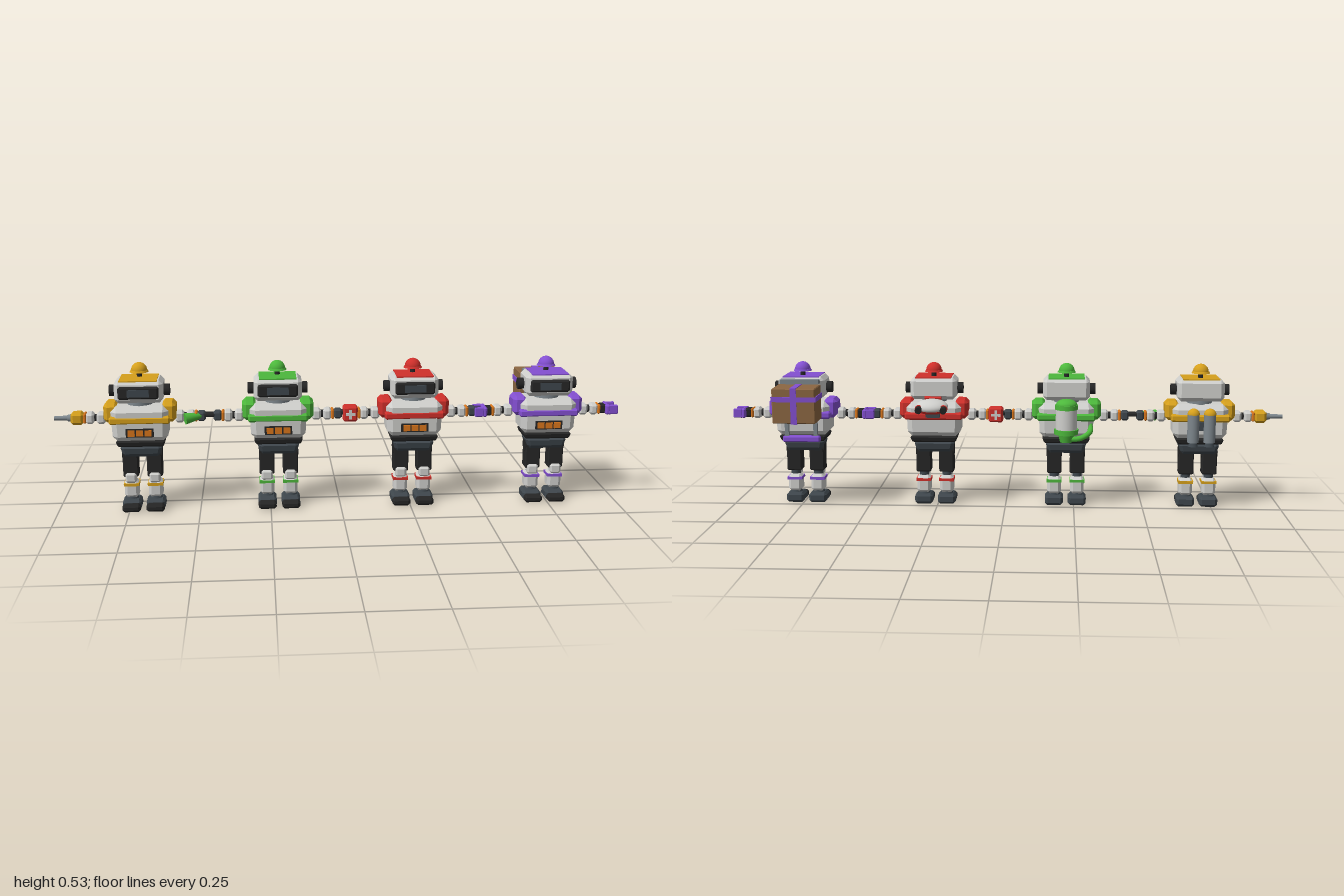
import * as THREE from 'three';
import { ConvexGeometry } from 'three/addons/geometries/ConvexGeometry.js';

const paint = (name, color) => { const m = new THREE.MeshStandardMaterial({ color }); m.name = name; return m; };
const M = {
  light: paint('light grey shell', 0xd0d0cd), black: paint('black', 0x262626),
  slate: paint('dark slate', 0x3f474d), steel: paint('steel grey', 0x7e878d),
  orange: paint('orange', 0xd9761c), gold: paint('gold', 0xd6a01c),
  green: paint('green', 0x4db83c), red: paint('red', 0xd0302b),
  purple: paint('purple', 0x8450d2), brown: paint('box brown', 0x8c6742),
};

function add(parent, name, geo, mat, x, y, z) {
  const m = new THREE.Mesh(geo, mat);
  m.name = name;
  m.position.set(x, y, z);
  parent.add(m);
  return m;
}

// box with all edges cut by c; the bottom can be narrowed
function chamfer(w, h, d, c, bottom = 1) {
  const pts = [], a = w / 2, b = h / 2, e = d / 2;
  for (const i of [-1, 1]) for (const j of [-1, 1]) for (const k of [-1, 1]) {
    const s = j < 0 ? bottom : 1;
    for (const [p, q, r] of [[a, b - c, e - c], [a - c, b, e - c], [a - c, b - c, e]])
      pts.push(new THREE.Vector3(i * p * s, j * q, k * r * s));
  }
  return new ConvexGeometry(pts);
}
const box = (w, h, d) => new THREE.BoxGeometry(w, h, d);
const cyl = (r1, r2, h, n = 24) => new THREE.CylinderGeometry(r1, r2, h, n);
const dome = (r) => new THREE.SphereGeometry(r, 24, 10, 0, Math.PI * 2, 0, Math.PI / 2);
const sideways = (geo) => geo.rotateZ(Math.PI / 2);
const Z = 0.058, ARM = 0.335;

function head(g, accent) {
  add(g, 'neck', cyl(0.045, 0.045, 0.02), M.steel, 0, 0.39, Z);
  add(g, 'head', chamfer(0.168, 0.08, 0.113, 0.014), M.light, 0, 0.435, Z);
  add(g, 'headTopPlate', box(0.13, 0.004, 0.116), accent, 0, 0.475, 0.06);
  add(g, 'visorFrame', chamfer(0.14, 0.044, 0.016, 0.006), M.black, 0, 0.434, 0.117);
  add(g, 'visorScreen', box(0.075, 0.026, 0.003), M.slate, 0, 0.434, 0.1255);
  for (const s of [-1, 1]) add(g, 'ear', sideways(cyl(0.02, 0.02, 0.025)), M.black, s * 0.092, 0.432, Z);
  add(g, 'beaconStem', cyl(0.009, 0.009, 0.022), M.black, 0, 0.486, 0.043);
  add(g, 'beaconBase', cyl(0.029, 0.033, 0.007), accent, 0, 0.497, 0.043);
  add(g, 'beaconDome', dome(0.028), accent, 0, 0.499, 0.043);
}

function torso(g, accent) {
  add(g, 'chest', chamfer(0.2, 0.128, 0.126, 0.02, 0.96), M.light, 0, 0.321, 0.059);
  add(g, 'chestBand', chamfer(0.21, 0.027, 0.133, 0.006), accent, 0, 0.336, 0.0575);
  add(g, 'buttonPanel', box(0.096, 0.03, 0.008), M.black, 0, 0.293, 0.121);
  for (const x of [-0.029, 0, 0.029]) add(g, 'button', box(0.024, 0.021, 0.008), M.orange, x, 0.293, 0.126);
  add(g, 'waist', chamfer(0.17, 0.022, 0.114, 0.005, 0.95), M.black, 0, 0.25, 0.057);
  add(g, 'pelvis', chamfer(0.145, 0.044, 0.091, 0.012, 0.92), M.slate, 0, 0.221, 0.059);
}

function leg(g, accent, s) {
  const x = s * 0.042;
  add(g, 'hip', sideways(cyl(0.026, 0.026, 0.056, 6)), M.black, x, 0.205, Z);
  add(g, 'thigh', chamfer(0.054, 0.09, 0.049, 0.004), M.black, x, 0.166, Z);
  add(g, 'kneeJoint', cyl(0.017, 0.017, 0.03), M.slate, x, 0.113, Z);
  add(g, 'kneePad', chamfer(0.04, 0.036, 0.027, 0.007), M.light, x, 0.118, 0.077);
  add(g, 'shin', chamfer(0.05, 0.064, 0.052, 0.01), M.light, x, 0.075, 0.056);
  add(g, 'shinBand', box(0.054, 0.01, 0.055), accent, x, 0.092, 0.0565);
  add(g, 'ankle', cyl(0.017, 0.023, 0.014), M.slate, x, 0.043, 0.057);
  add(g, 'foot', chamfer(0.066, 0.037, 0.075, 0.009), M.slate, x, 0.0195, 0.06);
  add(g, 'toe', chamfer(0.064, 0.027, 0.034, 0.008), M.black, x, 0.0155, 0.108);
}

function arm(g, accent, s) {
  add(g, 'shoulderPad', chamfer(0.052, 0.07, 0.084, 0.013), accent, s * 0.099, 0.358, Z);
  add(g, 'upperArm', chamfer(0.032, 0.04, 0.042, 0.008), M.light, s * 0.136, ARM, Z);
  add(g, 'elbow', sideways(cyl(0.013, 0.013, 0.02)), M.black, s * 0.158, ARM, Z);
  add(g, 'forearm', chamfer(0.03, 0.04, 0.042, 0.008), M.light, s * 0.175, ARM, Z);
  add(g, 'wristCuff', chamfer(0.01, 0.034, 0.042, 0.003), M.orange, s * 0.193, ARM, Z);
}

function plainHand(g, s) {
  add(g, 'palm', chamfer(0.028, 0.034, 0.036, 0.006), M.slate, s * 0.212, ARM, Z);
  for (const z of [-0.012, 0, 0.012]) add(g, 'finger', chamfer(0.026, 0.012, 0.009, 0.002), M.black, s * 0.236, ARM + 0.004, Z + z);
}

function clawHand(g, accent, s) {
  add(g, 'wrist', chamfer(0.026, 0.032, 0.036, 0.005), M.black, s * 0.208, ARM, Z);
  add(g, 'clawPalm', chamfer(0.016, 0.036, 0.062, 0.005), accent, s * 0.223, ARM, Z);
  for (const z of [-0.025, 0, 0.025]) add(g, 'clawFinger', chamfer(0.034, z ? 0.034 : 0.014, 0.011, 0.003), accent, s * 0.243, ARM - (z ? 0 : 0.01), Z + z);
}

// gold worker: drill hand and twin tanks
function drillKit(g) {
  add(g, 'drillBody', chamfer(0.045, 0.044, 0.046, 0.009), M.gold, -0.219, ARM, Z);
  add(g, 'drillChuck', sideways(cyl(0.011, 0.014, 0.014)), M.steel, -0.247, ARM, Z);
  add(g, 'drillBit', sideways(cyl(0.007, 0.009, 0.048)), M.steel, -0.276, ARM, Z);
  add(g, 'tankBracket', box(0.08, 0.03, 0.02), M.slate, 0, 0.31, -0.012);
  for (const s of [-1, 1]) {
    add(g, 'tank', cyl(0.021, 0.021, 0.1), M.steel, s * 0.029, 0.305, -0.03);
    add(g, 'tankCap', dome(0.022), M.gold, s * 0.029, 0.355, -0.03);
    add(g, 'tankNozzle', cyl(0.012, 0.018, 0.016), M.slate, s * 0.029, 0.248, -0.03);
  }
}

// green worker: sprayer hand, hose and one big tank
function sprayKit(g) {
  plainHand(g, -1);
  const nozzle = add(g, 'sprayNozzle', sideways(cyl(0.008, 0.02, 0.075)), M.green, -0.29, ARM, 0.073);
  nozzle.rotation.set(0, 0.35, 0.1);
  nozzle.scale.x = -1;
  nozzle.geometry.scale(-1, 1, 1).rotateX(Math.PI).rotateY(Math.PI);
  nozzle.scale.x = 1;
  nozzle.geometry = sideways(cyl(0.02, 0.008, 0.075));
  add(g, 'tank', cyl(0.038, 0.038, 0.09), M.light, 0, 0.335, -0.025);
  add(g, 'tankTop', cyl(0.041, 0.041, 0.016), M.green, 0, 0.378, -0.025);
  add(g, 'tankDome', dome(0.038).scale(1, 0.55, 1), M.green, 0, 0.386, -0.025);
  add(g, 'tankRing', cyl(0.043, 0.043, 0.018), M.green, 0, 0.289, -0.025);
  add(g, 'tankFoot', cyl(0.03, 0.022, 0.03), M.green, 0, 0.265, -0.022);
  const path = new THREE.CatmullRomCurve3([[0, 0.262, -0.025], [-0.05, 0.265, -0.03], [-0.085, 0.285, -0.01], [-0.085, 0.31, 0.02]]
    .map((p) => new THREE.Vector3(...p)));
  add(g, 'hose', new THREE.TubeGeometry(path, 24, 0.01, 10), M.green, 0, 0, 0);
}

// red worker: aid kit hand and saucer pack
function aidKit(g) {
  add(g, 'aidCase', chamfer(0.052, 0.054, 0.05, 0.006), M.red, -0.224, ARM, Z);
  for (const s of [-1, 1]) for (const [w, h] of [[0.034, 0.01], [0.01, 0.034]])
    add(g, 'aidCross', box(w, h, 0.004), M.light, -0.224, ARM, Z + s * 0.0255);
  add(g, 'packMount', box(0.05, 0.04, 0.03), M.slate, 0, 0.355, -0.012);
  const pack = new THREE.Group();
  pack.name = 'saucerPack';
  pack.position.set(0, 0.38, -0.045);
  pack.rotation.x = -0.2;
  g.add(pack);
  add(pack, 'saucer', new THREE.SphereGeometry(0.058, 28, 16).scale(1, 0.42, 0.75), M.light, 0, 0, 0);
  add(pack, 'saucerRim', cyl(0.056, 0.05, 0.01, 28).scale(1, 1, 0.75), M.red, 0, -0.012, 0);
  add(pack, 'saucerHinge', box(0.06, 0.016, 0.016), M.red, 0, 0.012, 0.04);
  for (const s of [-1, 1]) {
    add(pack, 'thruster', cyl(0.012, 0.012, 0.026).rotateX(Math.PI / 2), M.black, s * 0.044, 0, -0.034);
    add(pack, 'thrusterRing', cyl(0.014, 0.014, 0.006).rotateX(Math.PI / 2), M.red, s * 0.044, 0, -0.026);
  }
}

// purple worker: claw hands, carrying frame and strapped box
function cargoKit(g) {
  clawHand(g, M.purple, -1);
  for (const s of [-1, 1]) add(g, 'framePost', box(0.014, 0.2, 0.015), M.steel, s * 0.052, 0.363, -0.015);
  add(g, 'frameTopBar', box(0.14, 0.016, 0.027), M.steel, 0, 0.461, -0.0135);
  add(g, 'frameFoot', chamfer(0.135, 0.022, 0.025, 0.004), M.purple, 0, 0.251, -0.0125);
  const cy = 0.39, cz = -0.0735;
  add(g, 'cargoBox', chamfer(0.154, 0.125, 0.106, 0.003), M.brown, 0, cy, cz);
  add(g, 'strapAround', box(0.16, 0.018, 0.109), M.purple, 0, 0.414, cz);
  add(g, 'strapOver', box(0.022, 0.13, 0.109), M.purple, 0, cy, cz);
}

export function createModel() {
  const root = new THREE.Group();
  root.name = 'robotTeam';
  const team = [
    ['drillRobot', -0.7, M.gold, drillKit], ['sprayRobot', -0.22, M.green, sprayKit],
    ['aidRobot', 0.26, M.red, aidKit], ['cargoRobot', 0.74, M.purple, cargoKit],
  ];
  for (const [name, x, accent, kit] of team) {
    const g = new THREE.Group();
    g.name = name;
    g.position.x = x;
    root.add(g);
    head(g, accent);
    torso(g, accent);
    for (const s of [-1, 1]) { leg(g, accent, s); arm(g, accent, s); }
    if (kit === cargoKit) clawHand(g, accent, 1); else plainHand(g, 1);
    kit(g);
  }
  return root;
}
